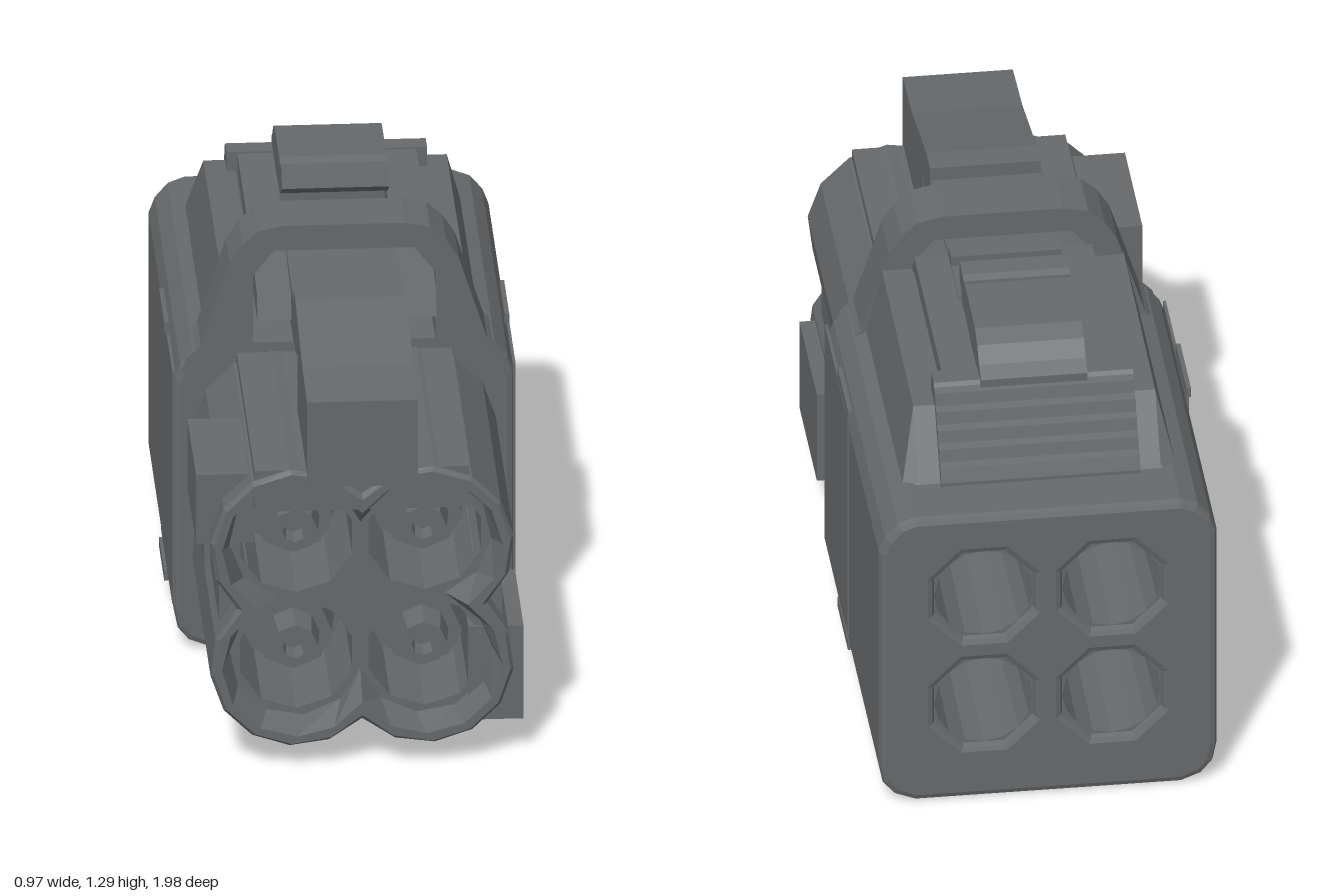
import * as THREE from 'three';

const shell = new THREE.MeshStandardMaterial({ color: 0x66696b, flatShading: true, side: THREE.DoubleSide });
shell.name = 'dark grey plastic';

const CX = 0.18, LOW = 0.31, HIGH = 0.665, MID = (LOW + HIGH) / 2, HALF = HIGH - MID;
const bores = [[-CX, LOW], [CX, LOW], [-CX, HIGH], [CX, HIGH]];

function add(group, name, geo) {
  const m = new THREE.Mesh(geo, shell);
  m.name = name;
  group.add(m);
  return m;
}

function box(group, name, x0, x1, y0, y1, z0, z1) {
  const m = add(group, name, new THREE.BoxGeometry(x1 - x0, y1 - y0, z1 - z0));
  m.position.set((x0 + x1) / 2, (y0 + y1) / 2, (z0 + z1) / 2);
  return m;
}

const shapeOf = (pts) => new THREE.Shape(pts.map(([a, b]) => new THREE.Vector2(a, b)));
const mirrorX = (pts) => [...pts, ...pts.map(([x, y]) => [-x, y]).reverse()];

// Polygonal hole outline
function ring(x, y, r, n) {
  const p = [];
  for (let i = 0; i < n; i++) {
    const a = ((i + 0.5) / n) * Math.PI * 2;
    p.push(new THREE.Vector2(x + r * Math.cos(a), y + r * Math.sin(a)));
  }
  return new THREE.Path(p);
}

// Side profile in (z, y), extruded across x from x0 to x1
function sideProfile(group, name, pts, x0, x1) {
  const g = new THREE.ExtrudeGeometry(shapeOf(pts), { depth: x1 - x0, bevelEnabled: false });
  g.rotateY(-Math.PI / 2);
  g.translate(x1, 0, 0);
  return add(group, name, g);
}

// Four-lobed outline: the union of four circles of radius r
function lobes(r) {
  const q = [], a0 = -Math.asin(HALF / r), a1 = Math.PI - Math.acos(CX / r), n = 7;
  for (let i = 0; i <= n; i++) {
    const a = a0 + ((a1 - a0) * i) / n;
    q.push([CX + r * Math.cos(a), HALF + r * Math.sin(a)]);
  }
  const top = [...q, ...q.map(([x, y]) => [-x, y]).reverse()];
  return [...top, ...top.map(([x, y]) => [-x, -y])].map(([x, y]) => [x, y + MID]);
}

// Skin joining equal-length outlines placed at successive z
function loft(sections) {
  const pos = [], idx = [], n = sections[0].pts.length;
  for (const s of sections) for (const [x, y] of s.pts) pos.push(x, y, s.z);
  for (let k = 0; k < sections.length - 1; k++) {
    for (let i = 0; i < n; i++) {
      const a = k * n + i, b = k * n + ((i + 1) % n);
      idx.push(a, b, b + n, a, b + n, a + n);
    }
  }
  const g = new THREE.BufferGeometry();
  g.setAttribute('position', new THREE.Float32BufferAttribute(pos, 3));
  g.setIndex(idx);
  g.computeVertexNormals();
  return g;
}

export function createModel() {
  const root = new THREE.Group();
  root.name = 'connector';

  // Rear housing with wire bores
  const w = 0.455, y0 = 0.02, y1 = 0.91;
  const outline = shapeOf(mirrorX([[0.37, y0], [0.42, y0 + 0.02], [0.445, y0 + 0.05], [w, y0 + 0.1],
    [w, y1 - 0.09], [0.44, y1 - 0.05], [0.41, y1 - 0.015], [0.37, y1]]));
  for (const [x, y] of bores) outline.holes.push(ring(x, y, 0.172, 8));
  const housing = new THREE.ExtrudeGeometry(outline, {
    depth: 1.12, bevelEnabled: true, bevelSize: 0.02, bevelThickness: 0.02, bevelSegments: 2 });
  housing.translate(0, 0, -0.97);
  add(root, 'rearHousing', housing);

  // Side panels with small edge tabs
  for (const s of [-1, 1]) {
    const x0 = s * 0.4755;
    box(root, 'sidePanel', x0 - 0.004, x0 + 0.004, 0.14, 0.85, -0.33, 0.17);
    for (const y of [0.105, 0.865]) box(root, 'panelTab', x0 - 0.01, x0 + 0.003, y - 0.015, y + 0.015, -0.33, -0.1);
  }

  // Front plug: lobed core, then a flared lip
  const core = shapeOf(lobes(0.245));
  for (const [x, y] of bores) core.holes.push(ring(x, y, 0.165, 10));
  const coreGeo = new THREE.ExtrudeGeometry(core, { depth: 0.75, bevelEnabled: false });
  coreGeo.translate(0, 0, 0.15);
  add(root, 'frontPlug', coreGeo);
  add(root, 'plugLip', loft([
    { pts: lobes(0.245), z: 0.9 }, { pts: lobes(0.245), z: 0.975 }, { pts: lobes(0.235), z: 0.99 },
    { pts: lobes(0.212), z: 0.99 }, { pts: lobes(0.186), z: 0.9 }]));

  // Stepped contact in each front socket, wire sleeve at the rear
  const contact = [[0.168, 0.45], [0.15, 0.62], [0.125, 0.62], [0.11, 0.75], [0.075, 0.75],
    [0.065, 0.85], [0.035, 0.85], [0.03, 0.79], [0, 0.79]];
  const sleeve = [[0, -0.45], [0.13, -0.45], [0.138, -0.97], [0.155, -0.97], [0.155, -0.4]];
  for (const [x, y] of bores) {
    for (const [name, prof, n] of [['contact', contact, 8], ['wireSleeve', sleeve, 16]]) {
      const g = new THREE.LatheGeometry(prof.map(([r, h]) => new THREE.Vector2(r, h)), n);
      g.rotateX(Math.PI / 2);
      add(root, name, g).position.set(x, y, 0);
    }
  }

  // Keying lugs and side fillers on the plug
  box(root, 'leftLug', 0.3, 0.455, 0.1, 0.385, 0.53, 0.91);
  box(root, 'rightLug', -0.46, -0.3, 0.66, 0.87, 0.53, 0.91);
  for (const s of [-1, 1]) {
    const m = box(root, 'sideFiller', -0.05, 0.05, 0.33, 0.65, 0.17, 0.48);
    m.position.x = s * 0.36;
    box(root, 'sideRib', s * 0.355 - 0.04, s * 0.355 + 0.04, 0.39, 0.59, 0.53, 0.9);
  }
  box(root, 'plugCrown', -0.3, 0.3, 0.78, 0.905, 0.16, 0.97);

  // Latch: root block, ramp and beam passing under the arch
  sideProfile(root, 'latchArm', [[0.99, 0.86], [0.99, 1.12], [0.78, 1.135], [0.47, 1.2], [0.39, 1.2],
    [0.39, 1.16], [0, 1.17], [-0.23, 1.17], [-0.23, 1.125], [0, 1.12], [0.18, 1.03], [0.48, 1.045],
    [0.56, 1.07], [0.56, 0.86]], -0.155, 0.155);
  for (const s of [-1, 1]) {
    const c = s * 0.2;
    sideProfile(root, 'latchRail', [[0.3, 1.06], [0.28, 1.13], [0, 1.165], [-0.62, 1.165], [-0.62, 1.11],
      [0, 1.11], [0.1, 1.06]], c - 0.05, c + 0.05);
  }
  box(root, 'latchCrossbar', -0.155, 0.155, 1.1, 1.2, -0.07, -0.01);

  // Protective arch over the latch
  const arch = shapeOf(mirrorX([[0.455, 0.85], [0.44, 0.89], [0.4, 0.93], [0.32, 1.18], [0.285, 1.235],
    [0.24, 1.275], [0.17, 1.29]]));
  arch.holes.push(new THREE.Path(mirrorX([[0.255, 0.935], [0.255, 1.14], [0.195, 1.215]])
    .map(([x, y]) => new THREE.Vector2(x, y))));
  const archGeo = new THREE.ExtrudeGeometry(arch, { depth: 0.17, bevelEnabled: false });
  add(root, 'guardArch', archGeo);

  // Sloped guard walls along both sides of the latch
  for (const s of [-1, 1]) {
    const section = (inset, top) => [[s * 0.255, 0.9], [s * 0.39, 0.9], [s * (0.34 - inset), top], [s * 0.255, top]];
    add(root, 'guardWall', loft([{ pts: section(0, 0.91), z: -0.82 }, { pts: section(0, 0.94), z: -0.8 },
      { pts: section(0, 1.11), z: -0.68 }, { pts: section(0, 1.125), z: 0.01 }]));
  }

  // Ridged thumb ramp at the rear
  const ramp = [[-0.6, 0.92], [-0.6, 1.17], [-0.66, 1.17]];
  for (let i = 0; i < 5; i++) {
    const z = -0.67 - i * 0.03, y = 1.16 - i * 0.043;
    ramp.push([z, y], [z - 0.02, y - 0.008]);
  }
  ramp.push([-0.825, 0.94], [-0.825, 0.92]);
  sideProfile(root, 'thumbRamp', ramp, -0.28, 0.28);

  // Raised release pad
  sideProfile(root, 'releasePad', [[-0.21, 1.23], [-0.22, 1.28], [-0.28, 1.275], [-0.3, 1.265], [-0.33, 1.275],
    [-0.55, 1.27], [-0.6, 1.245], [-0.64, 1.205], [-0.68, 1.18], [-0.68, 1.1], [-0.43, 1.12],
    [-0.43, 1.17], [-0.27, 1.19]], -0.15, 0.15);

  return root;
}
